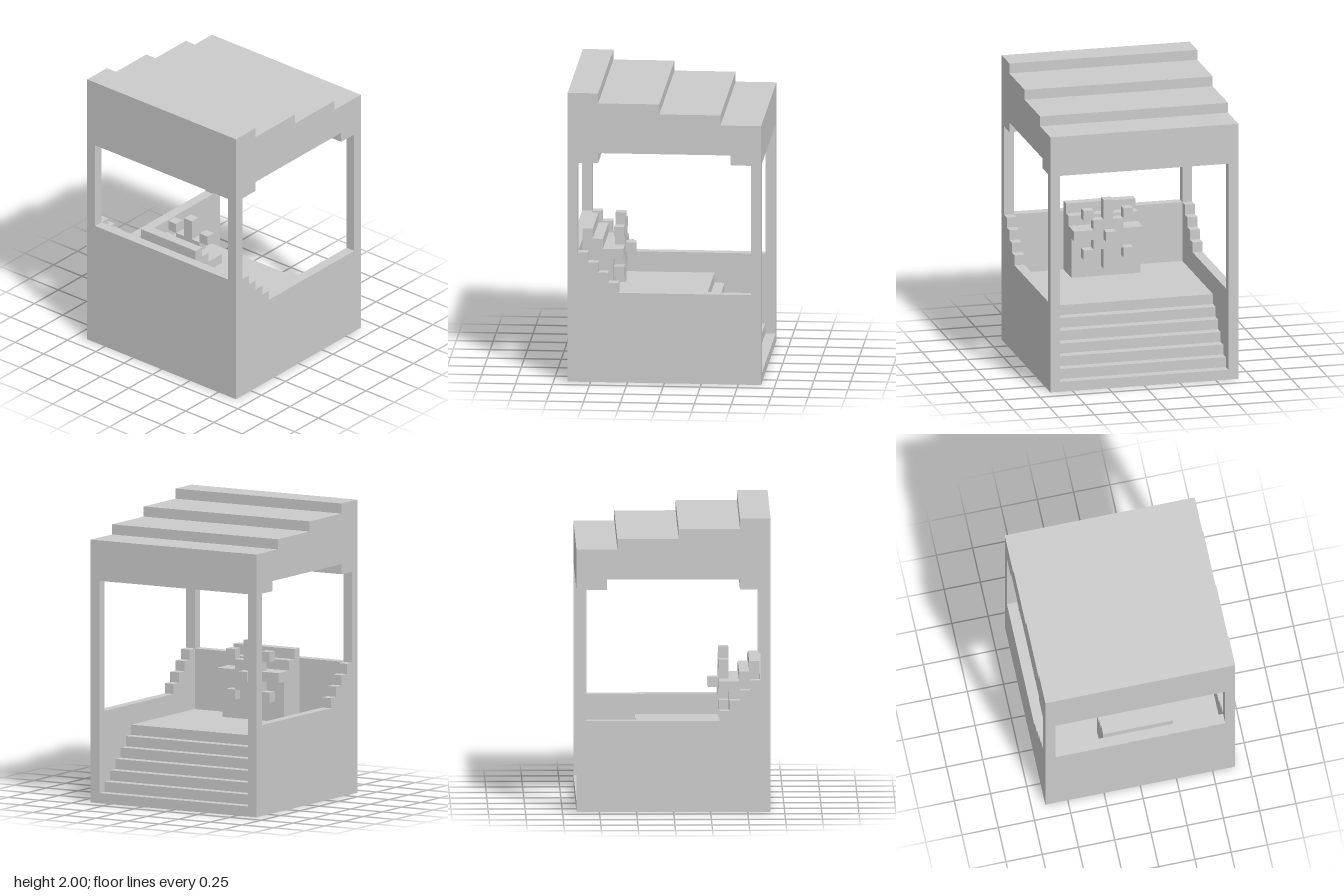
import * as THREE from 'three';

const U = 2 / 29; // one block
const N = 19;     // blocks along x and z

export function createModel() {
  const model = new THREE.Group();
  const material = new THREE.MeshStandardMaterial({ color: 0xcccccc, flatShading: true });

  // Extrudes an x-y outline (in blocks) from z0 to z1, with an optional hole
  function slab(name, outline, z0, z1, hole) {
    const toPoints = list => list.map(([x, y]) => new THREE.Vector2((x - N / 2) * U, y * U));
    const shape = new THREE.Shape(toPoints(outline));
    if (hole) shape.holes.push(new THREE.Path(toPoints(hole)));
    const geometry = new THREE.ExtrudeGeometry(shape, { depth: (z1 - z0) * U, bevelEnabled: false });
    geometry.translate(0, 0, (z0 - N / 2) * U);
    const mesh = new THREE.Mesh(geometry, material);
    mesh.name = name;
    model.add(mesh);
  }

  // Stepped roof line, from the low right edge to the high left edge
  const roofLine = [[19, 26], [15, 26], [15, 27], [9, 27], [9, 28], [3, 28], [3, 29], [0, 29]];

  // Front and back walls with a stepped window
  const wall = [[0, 0], [19, 0], ...roofLine];
  const windowHole = [[18, 9], [5, 9]];
  for (let i = 0; i < 4; i++) windowHole.push([5 - i, 10 + i], [4 - i, 10 + i]);
  windowHole.push([1, 22], [3, 22], [3, 23], [16, 23], [16, 22], [18, 22]);
  slab('backWall', wall, 0, 1, windowHole);
  slab('frontWall', wall, N - 1, N, windowHole);

  // Roof between the walls, with a lower beam along each side
  slab('roof', [[0, 22], [3, 22], [3, 23], [16, 23], [16, 22], [19, 22], ...roofLine], 1, N - 1);

  // Floor with entry stairs on the right and a low wall on the left
  const base = [[0, 0], [19, 0]];
  for (let i = 0; i < 7; i++) base.push([19 - i, i + 1], [18 - i, i + 1]);
  base.push([1, 7], [1, 13], [0, 13]);
  slab('floorAndStairs', base, 1, N - 1);

  // Stepped console that carries the wheel
  slab('console', [[1, 7], [4, 7], [4, 12], [3, 12], [3, 13], [2, 13], [2, 14], [1, 14]], 6, 13);

  // Steering wheel of blocks, centred on its hub
  const wheel = new THREE.Group();
  wheel.name = 'steeringWheel';
  wheel.position.set((4.5 - N / 2) * U, 11.5 * U, 0);
  model.add(wheel);
  function block(name, x, y, z, h = 1, d = 1) {
    const mesh = new THREE.Mesh(new THREE.BoxGeometry(U, h * U, d * U), material);
    mesh.position.set(x * U, y * U, z * U);
    mesh.name = name;
    wheel.add(mesh);
  }
  block('hub', 1, 0, 0);
  block('horizontalSpoke', 0, 0, 0, 1, 7);
  for (const s of [-1, 1]) {
    block('verticalSpoke', 0, 2 * s, 0, 3);
    for (const t of [-1, 1])
      for (const r of [1, 2]) block('diagonalSpoke', 0, r * s, r * t);
  }

  return model;
}
